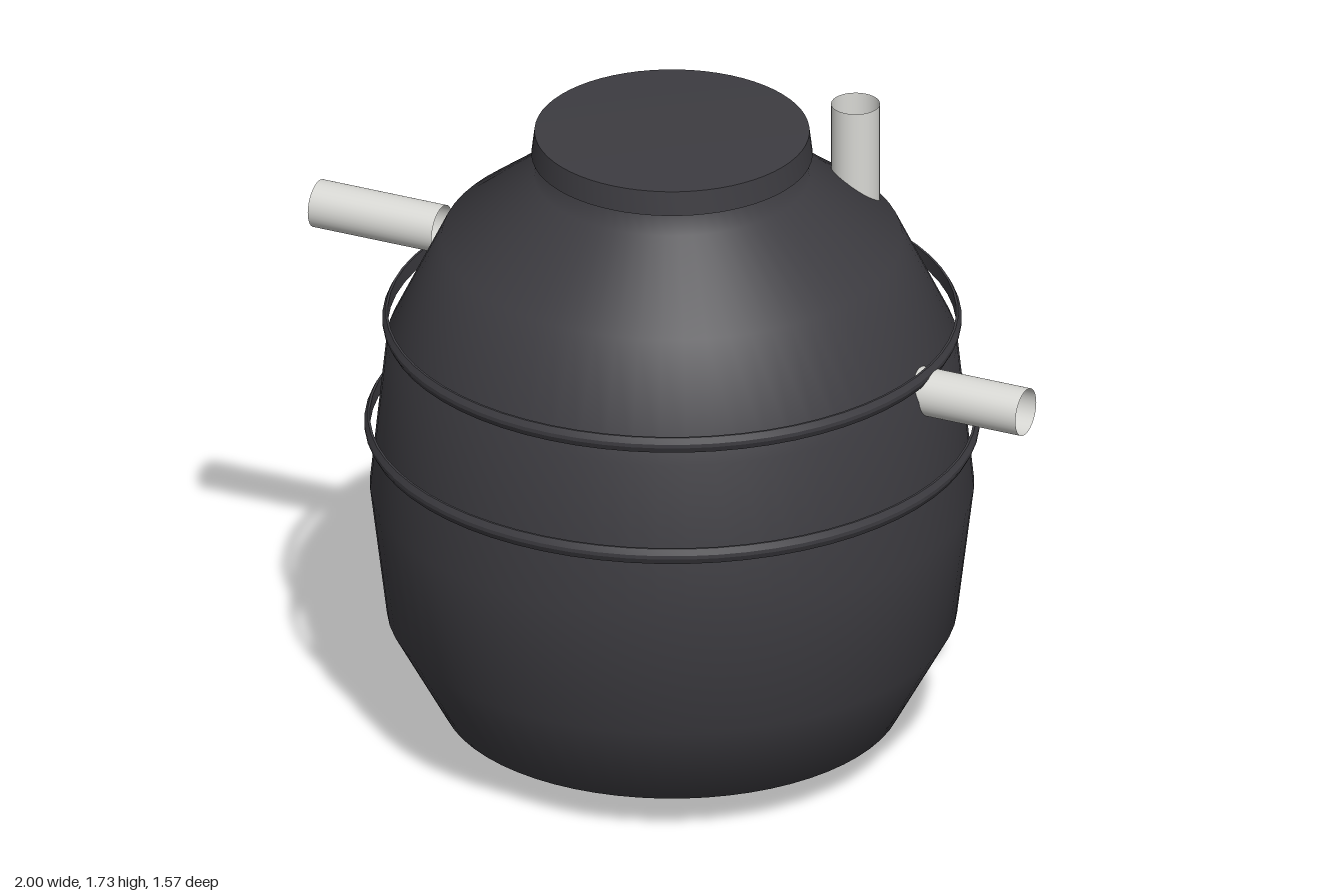
import * as THREE from 'three';
import { toCreasedNormals } from 'three/addons/utils/BufferGeometryUtils.js';

const SEGMENTS = 64;

// Turned part from a list of [radius, height] points
function turned(name, points, material, crease) {
  let geometry = new THREE.LatheGeometry(points.map(([r, y]) => new THREE.Vector2(r, y)), SEGMENTS);
  if (crease) geometry = toCreasedNormals(geometry, crease);
  const mesh = new THREE.Mesh(geometry, material);
  mesh.name = name;
  return mesh;
}

export function createModel() {
  const model = new THREE.Group();
  model.name = 'septicTank';

  const tankPlastic = new THREE.MeshStandardMaterial({ color: 0x3d3c41 });
  tankPlastic.name = 'dark tank plastic';
  const pipePlastic = new THREE.MeshStandardMaterial({ color: 0xd8d8d4, side: THREE.DoubleSide });
  pipePlastic.name = 'light pipe plastic';

  // Rounded tank with a short neck
  model.add(turned('tank', [
    [0, 0], [0.355, 0.005], [0.59, 0.1], [0.73, 0.355], [0.773, 0.71],
    [0.73, 1.12], [0.59, 1.41], [0.353, 1.59], [0.335, 1.66],
  ], tankPlastic));

  // Slightly domed lid overhanging the neck
  model.add(turned('lid', [
    [0.325, 1.65], [0.36, 1.65], [0.352, 1.715], [0, 1.725],
  ], tankPlastic, 0.6));

  // Thin hoops standing just clear of the wall
  const hoops = [['lowerHoop', 0.787, 0.885], ['upperHoop', 0.741, 1.18]];
  for (const [name, r, y] of hoops) {
    model.add(turned(name, [
      [r - 0.014, y - 0.021], [r - 0.008, y - 0.021], [r, y - 0.005], [r, y + 0.005],
      [r - 0.008, y + 0.021], [r - 0.014, y + 0.021], [r - 0.014, y - 0.021],
    ], tankPlastic, 0.4));
  }

  // Open pipes: two horizontal, one upright vent
  const pipeGeometry = new THREE.CylinderGeometry(0.0625, 0.0625, 0.35, 32, 1, true);
  const pipes = [
    ['inletPipe', -0.825, 1.297, 0, Math.PI / 2],
    ['outletPipe', 0.825, 1.122, 0, Math.PI / 2],
    ['ventPipe', 0.352, 1.532, -0.355, 0],
  ];
  for (const [name, x, y, z, turn] of pipes) {
    const pipe = new THREE.Mesh(pipeGeometry, pipePlastic);
    pipe.name = name;
    pipe.position.set(x, y, z);
    pipe.rotation.z = turn;
    model.add(pipe);
  }

  return model;
}
